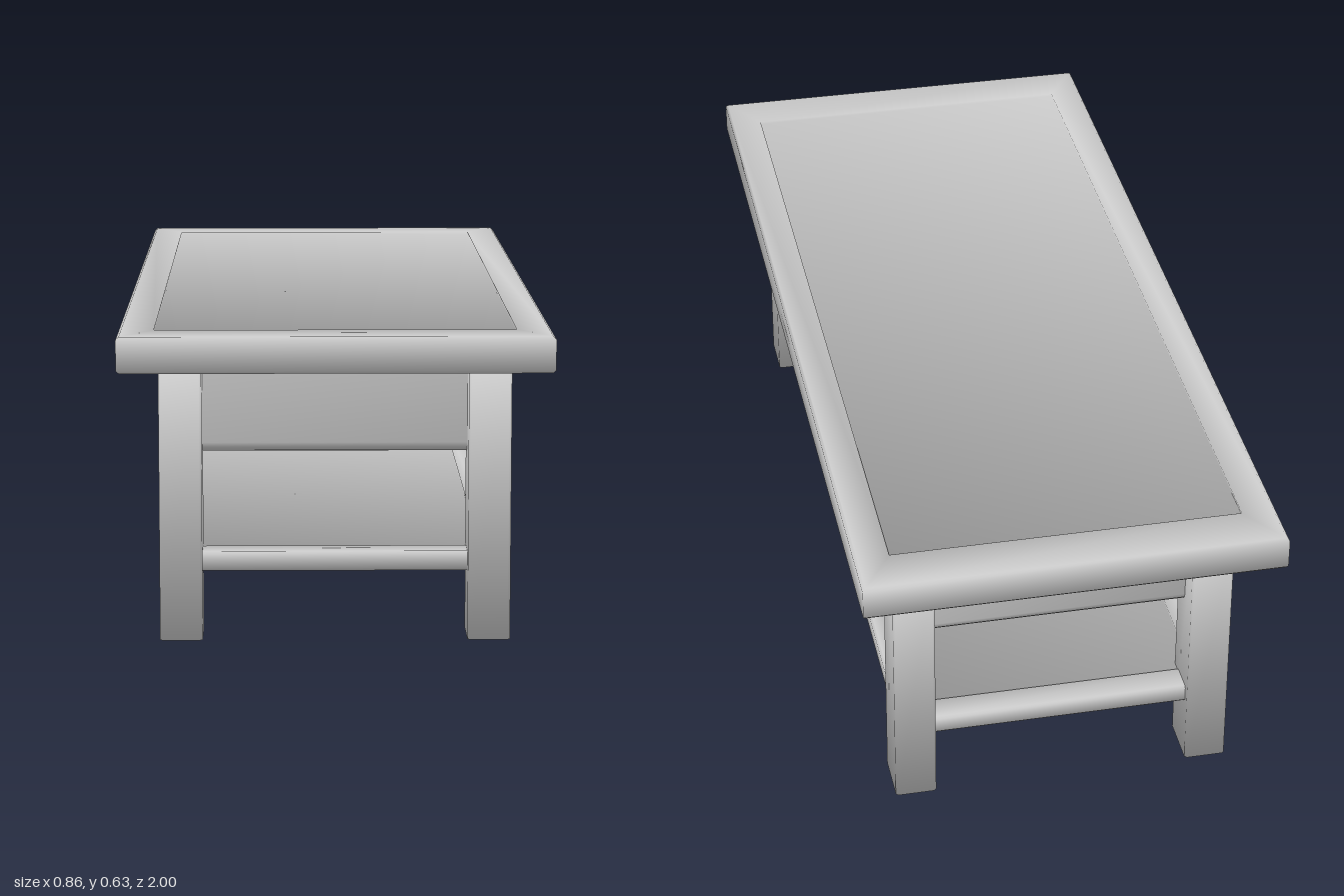
import * as THREE from 'three';

const material = new THREE.MeshStandardMaterial({ color: 0xcccccc });

function add(parent, name, geometry, x = 0, y = 0, z = 0) {
  const mesh = new THREE.Mesh(geometry, material);
  mesh.name = name;
  mesh.position.set(x, y, z);
  parent.add(mesh);
  return mesh;
}

// Plan corners as [sign x, sign z, cut x, cut z, normal x, normal z]; cut corners are doubled.
const SQUARE = [[1, 1], [1, -1], [-1, -1], [-1, 1]].map(([x, z]) => [x, z, 0, 0, x, z]);
const CUT = SQUARE.flatMap(([x, z]) => {
  const onZ = [x, z, 1, 0, 0.7 * x, 1.7 * z], onX = [x, z, 0, 1, 1.7 * x, 0.7 * z];
  return x === z ? [onZ, onX] : [onX, onZ];
});

// Closed solid through rectangular rings [half x, half z, y], from the bottom cap to the top cap.
// Each corner normal averages the faces round it, so the whole part is smooth shaded.
function loft(rings, { plan = SQUARE, cut = 0, capWeight = 1 } = {}) {
  const n = plan.length, last = rings.length - 1;
  const pos = [], nor = [], index = [];
  const slopes = rings.slice(1).map((r, i) => {
    const out = r[2] - rings[i][2], up = rings[i][0] - r[0], len = Math.hypot(out, up);
    return [out / len, 2 * up / len];
  });
  rings.forEach(([hx, hz, y], i) => {
    let out = 0, up = i === 0 ? -capWeight : i === last ? capWeight : 0;
    for (const s of [slopes[i - 1], slopes[i]]) if (s) { out += s[0]; up += s[1]; }
    for (const [sx, sz, cx, cz, nx, nz] of plan) {
      pos.push(sx * (hx - cut * cx), y, sz * (hz - cut * cz));
      nor.push(...new THREE.Vector3(out * nx, up, out * nz).normalize().toArray());
    }
  });
  for (let i = 0; i < last; i++)
    for (let c = 0; c < n; c++) {
      const a = i * n + c, b = i * n + (c + 1) % n;
      index.push(a, b, b + n, a, b + n, a + n);
    }
  for (let k = 1; k < n - 1; k++) {
    index.push(0, k + 1, k);
    index.push(last * n + 1, last * n + (1 + k) % n, last * n + (2 + k) % n);
  }
  const geo = new THREE.BufferGeometry();
  geo.setAttribute('position', new THREE.Float32BufferAttribute(pos, 3));
  geo.setAttribute('normal', new THREE.Float32BufferAttribute(nor, 3));
  geo.setIndex(index);
  return geo;
}

// Board with eased edges and a slightly sunken panel inside a rim.
function board(hx, hz, y0, y1, rimX, rimZ, bevel) {
  const sink = 0.006;
  return loft([
    [hx - bevel, hz - bevel, y0], [hx, hz, y0 + bevel],
    [hx, hz, y1 - bevel], [hx - bevel, hz - bevel, y1],
    [hx - rimX, hz - rimZ, y1], [hx - rimX, hz - rimZ, y1 - sink],
  ]);
}

// Drawer front: a slab whose normals lean gently outwards at the corners.
function drawerSlab(w, h, d) {
  const geo = new THREE.BoxGeometry(w, h, d);
  const p = geo.attributes.position, n = geo.attributes.normal, v = new THREE.Vector3();
  for (let i = 0; i < p.count; i++) {
    v.set(Math.sign(p.getX(i)), 0.25 * Math.sign(p.getY(i)), 0.6 * Math.sign(p.getZ(i))).normalize();
    n.setXYZ(i, v.x, v.y, v.z);
  }
  return geo;
}

// Bow handle: two square feet joined by a gently bent bar.
function handle() {
  const group = new THREE.Group();
  group.name = 'drawerHandle';
  for (const s of [-1, 1]) add(group, 'handleFoot', new THREE.BoxGeometry(0.058, 0.019, 0.03), 0.03, 0, s * 0.078);
  const bar = new THREE.CatmullRomCurve3([
    [0.045, 0, -0.085], [0.05, 0, -0.05], [0.053, 0, 0], [0.05, 0, 0.05], [0.045, 0, 0.085],
  ].map(p => new THREE.Vector3(...p)));
  add(group, 'handleBar', new THREE.TubeGeometry(bar, 16, 0.006, 8));
  return group;
}

export function createModel() {
  const table = new THREE.Group();
  table.name = 'coffeeTable';

  // Top and lower shelf
  add(table, 'tabletop', board(0.431, 1, 0.56, 0.633, 0.071, 0.105, 0.006));
  add(table, 'shelf', board(0.34, 0.865, 0.138, 0.178, 0.045, 0.06, 0.005));

  // Legs with eased upright edges
  const leg = loft([[0.043, 0.0565, 0], [0.043, 0.0565, 0.562]], { plan: CUT, cut: 0.005, capWeight: 1.6 });
  for (const sx of [-1, 1])
    for (const sz of [-1, 1]) add(table, 'leg', leg, sx * 0.31, 0, sz * 0.828);

  // Body below the top, rounded along its lower edge
  const r = 0.02, rings = [];
  for (let i = 0; i <= 3; i++) {
    const a = (i / 3) * Math.PI / 2, inset = r * (1 - Math.sin(a));
    rings.push([0.302 - inset, 0.83 - inset, 0.375 + r * (1 - Math.cos(a))]);
  }
  rings.push([0.302, 0.83, 0.562]);
  add(table, 'apron', loft(rings, { capWeight: 0 }));

  // Wide drawer with two handles
  add(table, 'drawerFront', drawerSlab(0.02, 0.156, 1.336), 0.298, 0.483, 0);
  for (const sz of [-1, 1]) {
    const pull = handle();
    pull.position.set(0.304, 0.486, sz * 0.364);
    table.add(pull);
  }
  return table;
}
